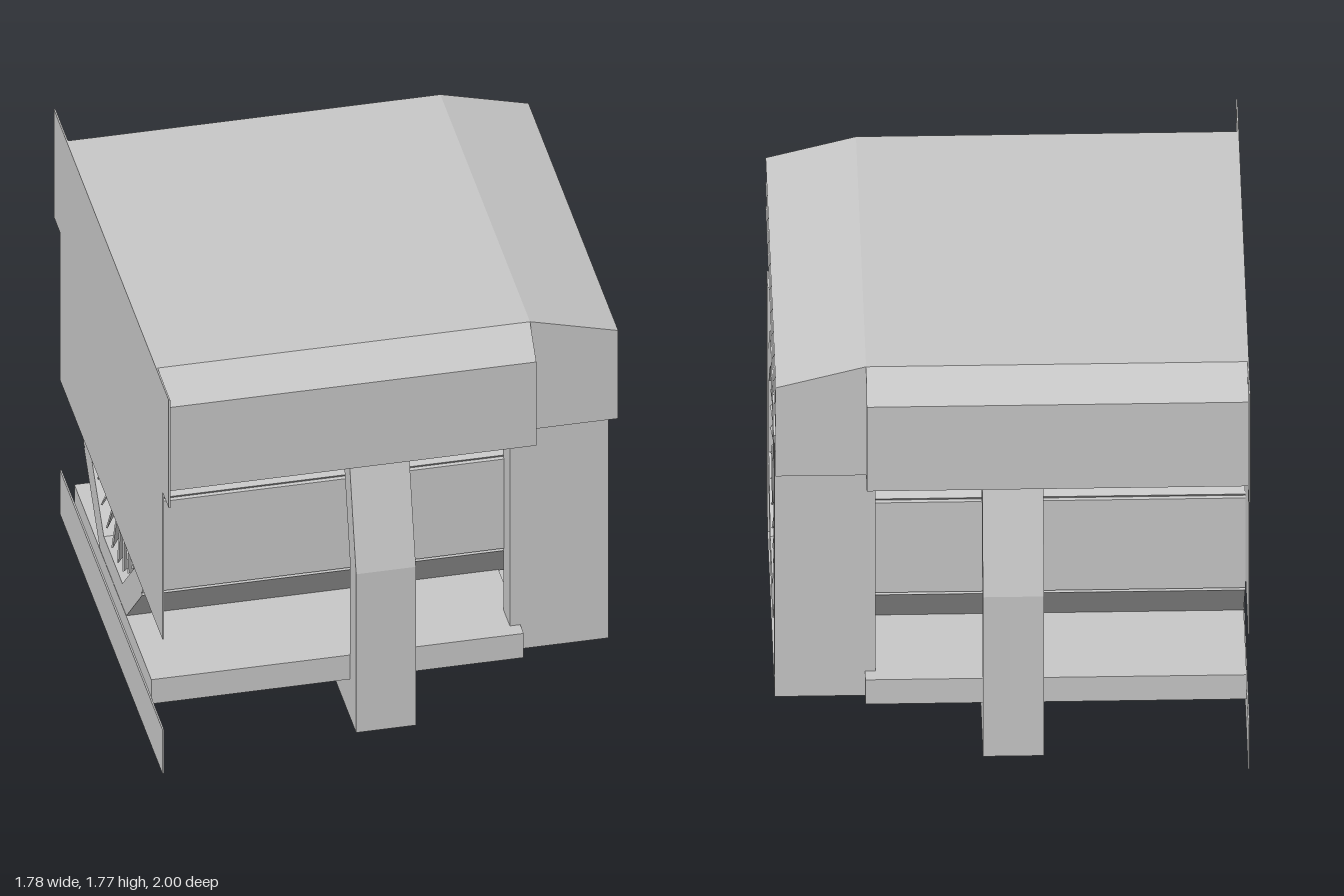
import * as THREE from 'three';

const grey = new THREE.MeshStandardMaterial({ color: 0xc8c8c8 });
grey.name = 'painted grey metal';

const AXIS_Y = 0.77; // height of the fan axis

export function createModel() {
  const model = new THREE.Group();
  model.name = 'fanUnit';

  const add = (name, geometry, parent = model) => {
    const mesh = new THREE.Mesh(geometry, grey);
    mesh.name = name;
    parent.add(mesh);
    return mesh;
  };
  const shapeOf = (pts) => new THREE.Shape(pts.map(([a, b]) => new THREE.Vector2(a, b)));

  // Box given by its limits on each axis
  const box = (name, x0, x1, y0, y1, z0, z1) =>
    add(name, new THREE.BoxGeometry(x1 - x0, y1 - y0, z1 - z0)
      .translate((x0 + x1) / 2, (y0 + y1) / 2, (z0 + z1) / 2));

  // Section in (z, y), symmetric in z, extruded along x
  const alongX = (shape, x0, x1) =>
    new THREE.ExtrudeGeometry(shape, { depth: x1 - x0, bevelEnabled: false })
      .rotateY(Math.PI / 2).translate(x0, 0, 0);
  const mirrored = (half) => shapeOf([...half, ...half.map(([z, y]) => [-z, y]).reverse()]);

  // Roof with chamfered long edges
  add('roof', alongX(mirrored([[0.89, 1.28], [0.89, 1.66], [0.78, 1.77]]), -0.885, 0.55));

  // Thin end plate and the strip below it
  add('endPlate', alongX(mirrored([
    [0.89, 0.61], [0.89, 1.28], [1, 1.28], [1, 1.77],
  ]), -0.891, -0.885));
  box('endStrip', -0.891, -0.885, 0, 0.2, -0.89, 0.89);

  // Louvred hood: outward-facing cheeks and three sloping slats
  const cheek = [[0.55, 1.28], [0.89, 1.28], [0.89, 1.68], [0.55, 1.77]];
  add('hoodCheekFront', new THREE.ShapeGeometry(shapeOf(cheek)).translate(0, 0, 0.78));
  add('hoodCheekBack', new THREE.ShapeGeometry(shapeOf(cheek.map(([x, y]) => [-x, y])))
    .rotateY(Math.PI).translate(0, 0, -0.78));
  for (const y of [1.77, 1.66, 1.55]) {
    const slat = shapeOf([[0.55, y], [0.55, y - 0.006], [0.89, y - 0.096], [0.89, y - 0.09]]);
    add('hoodSlat', new THREE.ExtrudeGeometry(slat, { depth: 1.56, bevelEnabled: false })
      .translate(0, 0, -0.78));
  }

  // Base, the thin floor beyond it, and the two notched posts
  box('base', -0.885, 0.55, 0.17, 0.28, -0.67, 0.67);
  box('floor', 0.55, 0.89, 0.17, 0.176, -0.61, 0.61);
  const postShape = shapeOf([
    [0.51, 0.28], [0.55, 0.28], [0.55, 0.17], [0.89, 0.17], [0.89, 1.28], [0.51, 1.28],
  ]);
  for (const z of [0.5, -0.61]) {
    add('post', new THREE.ExtrudeGeometry(postShape, { depth: 0.11, bevelEnabled: false })
      .translate(0, 0, z));
  }

  // Strap that cradles the duct
  add('strap', alongX(shapeOf([
    [0.78, 0], [0.78, 0.72], [0.63, 1.28], [0.52, 1.28], [0.67, 0.72], [0.67, 0.17],
    [-0.67, 0.17], [-0.67, 0.72], [-0.52, 1.28], [-0.63, 1.28], [-0.78, 0.72], [-0.78, 0],
  ]), -0.12, 0.11));

  // Hollow octagonal duct with a groove at each outer corner
  const outer = [], inner = [];
  for (let i = 0; i < 8; i++) {
    const a = i * Math.PI / 4;
    const at = (r, t) => [
      r * Math.cos(a) - t * Math.sin(a),
      AXIS_Y + r * Math.sin(a) + t * Math.cos(a),
    ];
    outer.push(at(0.51, -0.203), at(0.51, 0.203), at(0.494, 0.2046));
    inner.push(at(0.39, 0.1615));
  }
  const ductShape = shapeOf(outer);
  ductShape.holes.push(new THREE.Path(inner.map(([z, y]) => new THREE.Vector2(z, y))));
  add('duct', alongX(ductShape, -0.884, 0.888));

  // Fans: a hub with pitched, tapering blades, one at each end of the duct
  const BLADES = 24;
  const bladeShape = shapeOf([[-0.016, 0.1], [0.016, 0.1], [0.052, 0.375], [-0.052, 0.375]]);
  const bladeGeometry = new THREE.ExtrudeGeometry(bladeShape, { depth: 0.006, bevelEnabled: false })
    .translate(0, 0, -0.003).rotateY(Math.PI / 2 + 0.62);
  const makeFan = (name, x) => {
    const fan = new THREE.Group();
    fan.name = name;
    add('hub', new THREE.CylinderGeometry(0.11, 0.11, 0.07, BLADES).rotateZ(-Math.PI / 2), fan);
    for (let i = 0; i < BLADES; i++) {
      add('blade', bladeGeometry, fan).rotation.x = i * 2 * Math.PI / BLADES;
    }
    fan.position.set(x, AXIS_Y, 0);
    model.add(fan);
    return fan;
  };
  makeFan('rightFan', 0.85);
  makeFan('leftFan', -0.845).rotation.y = Math.PI;

  return model;
}
